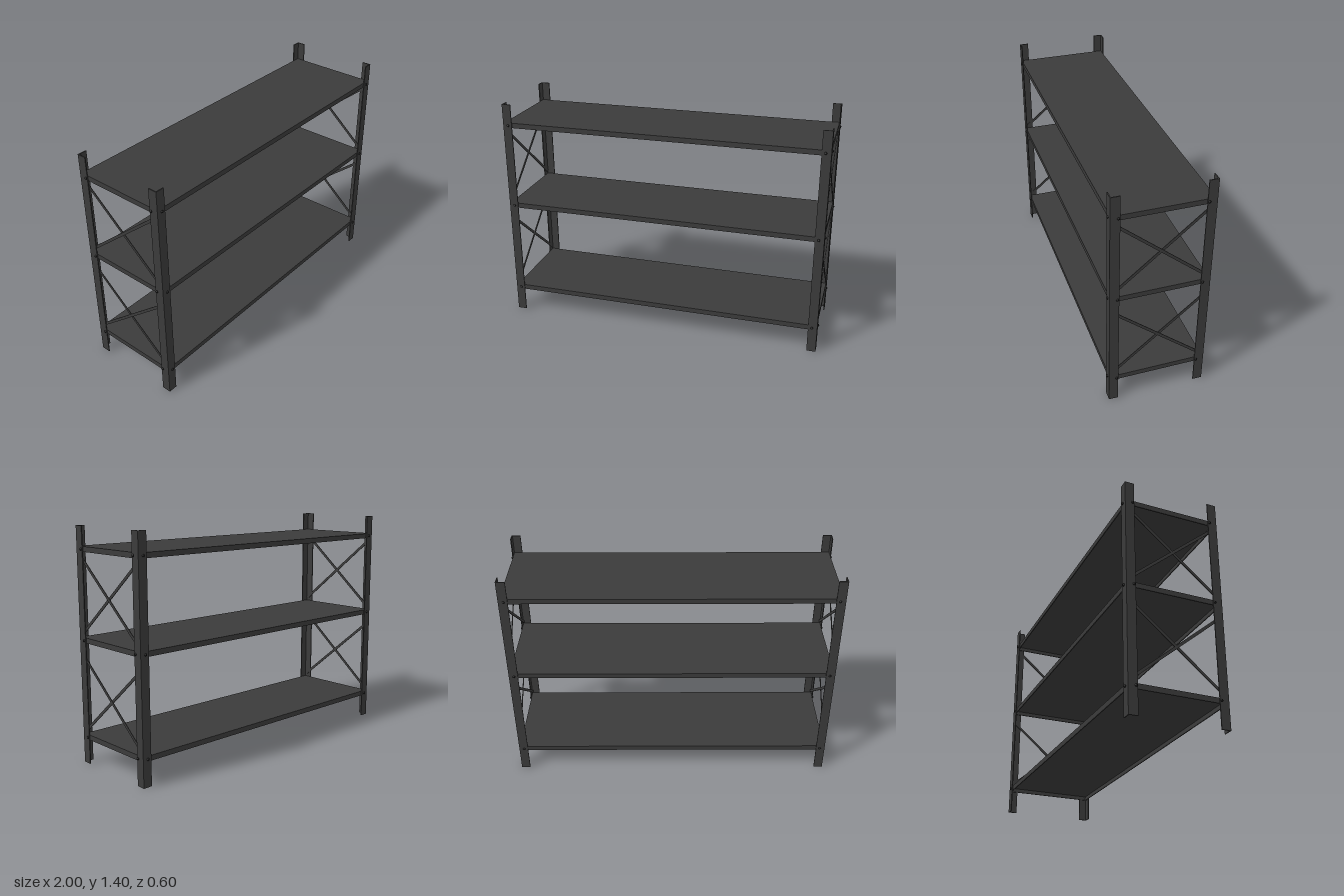
import * as THREE from 'three';

export function createModel() {
  const steel = new THREE.MeshStandardMaterial({ color: 0x3b3b3b });
  steel.name = 'dark steel';
  const black = new THREE.MeshStandardMaterial({ color: 0x1c1c1c });
  black.name = 'black bolt';

  const model = new THREE.Group();
  model.name = 'shelfRack';

  const X = 0.992, Z = 0.29, H = 1.405; // outer faces and height of the posts
  const T = 0.006;                      // sheet thickness
  const FLANGE = 0.055;
  const LIP = 0.031;
  const shelfTops = [0.177, 0.762, 1.289];

  const box = (parent, name, w, h, d, x, y, z) => {
    const mesh = new THREE.Mesh(new THREE.BoxGeometry(w, h, d), steel);
    mesh.name = name;
    mesh.position.set(x, y, z);
    parent.add(mesh);
    return mesh;
  };

  // Angle-iron corner posts, open towards the inside
  const angle = new THREE.Shape();
  [[0, 0], [FLANGE, 0], [FLANGE, T], [T, T], [T, FLANGE], [0, FLANGE]].forEach(([x, y], i) =>
    i ? angle.lineTo(x, y) : angle.moveTo(x, y));
  const postGeometry = new THREE.ExtrudeGeometry(angle, { depth: H, bevelEnabled: false });
  postGeometry.rotateX(-Math.PI / 2); // flanges now run along +x and -z from the corner
  const corners = [[-1, 1, 0], [1, 1, Math.PI / 2], [1, -1, Math.PI], [-1, -1, -Math.PI / 2]];
  for (const [sx, sz, turn] of corners) {
    const post = new THREE.Mesh(postGeometry, steel);
    post.name = 'cornerPost';
    post.position.set(sx * X, 0, sz * Z);
    post.rotation.y = turn;
    model.add(post);
  }

  // Shelves: thin trays with a folded lip on all four sides
  const sx = X - T, sz = Z - T;
  for (const top of shelfTops) {
    const shelf = new THREE.Group();
    shelf.name = 'shelf';
    box(shelf, 'shelfPanel', 2 * sx, T, 2 * sz, 0, top - T / 2, 0);
    const lipHeight = LIP - T, y = top - T - lipHeight / 2;
    for (const s of [-1, 1]) {
      box(shelf, 'longLip', 2 * sx, lipHeight, T, 0, y, s * (sz - T / 2));
      box(shelf, 'endLip', T, lipHeight, 2 * (sz - T), s * (sx - T / 2), y, 0);
    }
    model.add(shelf);
  }

  // Crossed flat braces at both ends
  const halfZ = 0.275, halfY = 0.231;
  for (const side of [-1, 1]) {
    for (const y of [0.427, 1.011]) {
      for (const dir of [-1, 1]) {
        const x = side * (X - T - 0.002 - (dir > 0 ? 0.004 : 0));
        const brace = box(model, 'crossBrace', 0.004, 0.017, 2 * Math.hypot(halfZ, halfY), x, y, 0);
        brace.rotation.x = dir * Math.atan2(halfY, halfZ);
      }
    }
  }

  // Domed bolts through both flanges of every post at each shelf
  const profile = [[0, 0], [0.008, 0], [0.0078, 0.003], [0.0055, 0.0065], [0, 0.008]]
    .map(([r, y]) => new THREE.Vector2(r, y));
  const boltGeometry = new THREE.LatheGeometry(profile, 12);
  const bolt = (x, y, z, axis) => {
    const mesh = new THREE.Mesh(boltGeometry, black);
    mesh.name = 'bolt';
    mesh.position.set(x, y, z);
    mesh.quaternion.setFromUnitVectors(new THREE.Vector3(0, 1, 0), axis);
    model.add(mesh);
  };
  for (const top of shelfTops) {
    const y = top - LIP / 2;
    for (const [cx, cz] of corners) {
      bolt(cx * X, y, cz * 0.245, new THREE.Vector3(cx, 0, 0));
      bolt(cx * 0.96, y, cz * Z, new THREE.Vector3(0, 0, cz));
    }
  }

  return model;
}
